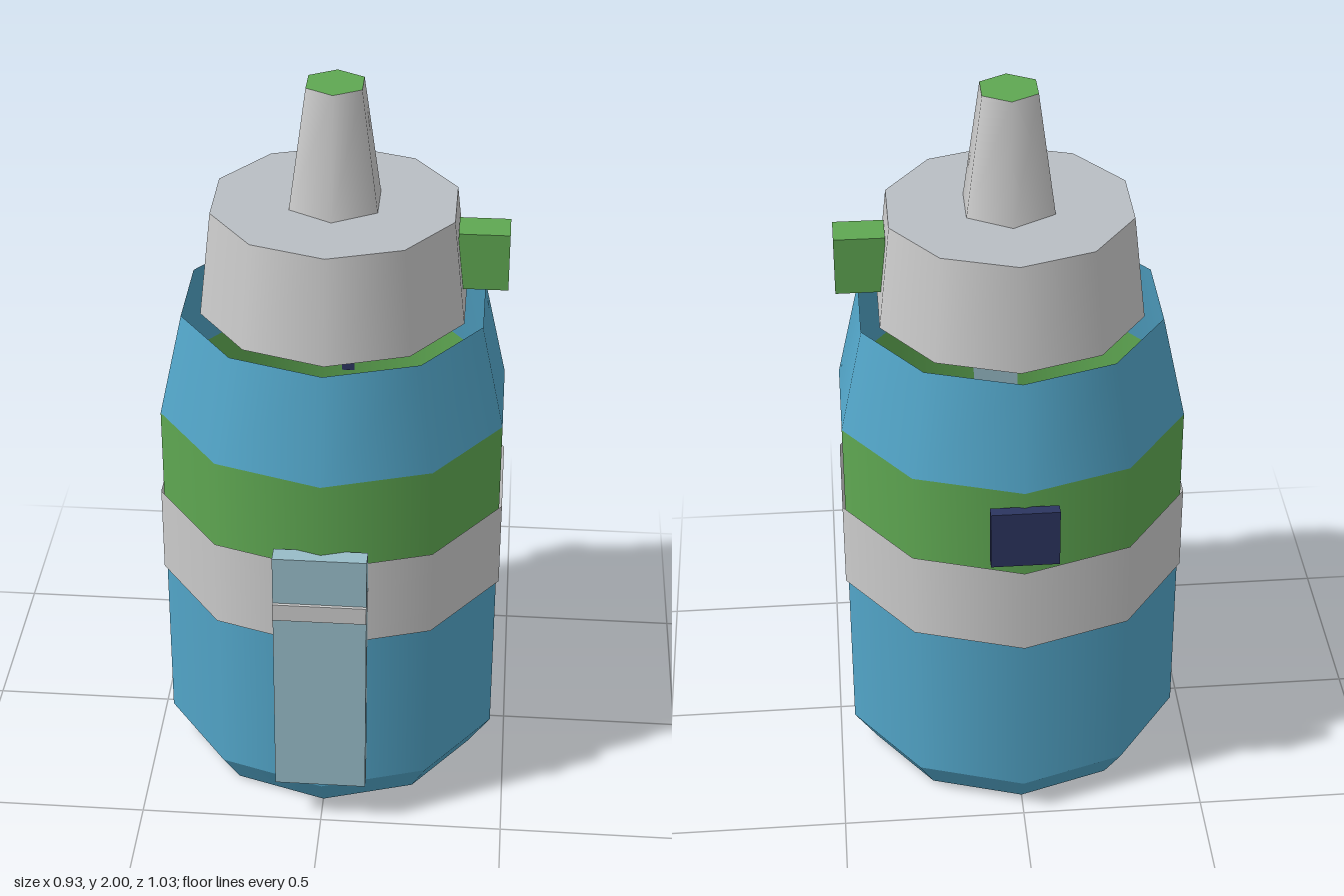
import * as THREE from 'three';

const paint = (color, side = THREE.DoubleSide) => new THREE.MeshStandardMaterial({ color, side });

export function createModel() {
  const model = new THREE.Group();
  const axisZ = -0.007;

  const grey = paint(0xcccccc);
  const plate = paint(0xb9bec3);
  const blue = paint(0x52a5c8);
  const green = paint(0x5fa852);
  const pale = paint(0x98bcc8);
  const navy = paint(0x2c3560);

  function add(name, geometry, material) {
    const mesh = new THREE.Mesh(geometry, material);
    mesh.name = name;
    model.add(mesh);
    return mesh;
  }

  // Open tapered wall between two heights
  function wall(name, y0, y1, r0, r1, material, sides = 10) {
    add(name, new THREE.CylinderGeometry(r1, r0, y1 - y0, sides, 1, true), material)
      .position.set(0, (y0 + y1) / 2, axisZ);
  }

  // Flat polygon facing up (dir 1) or down (dir -1)
  function disc(name, y, r, material, dir = 1, sides = 10) {
    const mesh = add(name, new THREE.CircleGeometry(r, sides, Math.PI / 2), material);
    mesh.rotation.x = -dir * Math.PI / 2;
    mesh.position.set(0, y, axisZ);
  }

  // Box given by its lower and upper corners
  function block(name, [x0, y0, z0], [x1, y1, z1], material) {
    add(name, new THREE.BoxGeometry(x1 - x0, y1 - y0, z1 - z0), material)
      .position.set((x0 + x1) / 2, (y0 + y1) / 2, (z0 + z1) / 2);
  }

  // Bottle body, an open shell at the shoulder
  disc('bottom', 0, 0.418, blue, -1);
  wall('baseChamfer', 0, 0.1, 0.418, 0.483, blue);
  wall('lowerBody', 0.1, 0.59, 0.483, 0.483, blue);
  wall('upperBand', 0.59, 1.09, 0.483, 0.483, green);
  wall('middleBand', 0.59, 0.84, 0.491, 0.491, grey);
  wall('shoulder', 1.09, 1.38, 0.483, 0.418, blue);

  // Cap and nozzle
  wall('capWall', 1.38, 1.67, 0.366, 0.333, grey);
  disc('capTop', 1.67, 0.333, plate);
  wall('nozzle', 1.67, 2, 0.133, 0.083, grey, 6);
  disc('nozzleTip', 2, 0.083, green, 1, 6);

  // Attached fittings
  block('sideButton', [0.325, 1.45, -0.054], [0.459, 1.61, 0.044], green);
  block('frontClip', [-0.125, 0.13, 0.455], [0.123, 0.88, 0.503], pale);
  block('clipBar', [-0.125, 0.69, 0.465], [0.123, 0.74, 0.512], grey);
  block('backBadge', [-0.09, 0.88, -0.515], [0.09, 1.045, -0.484], navy);

  return model;
}
